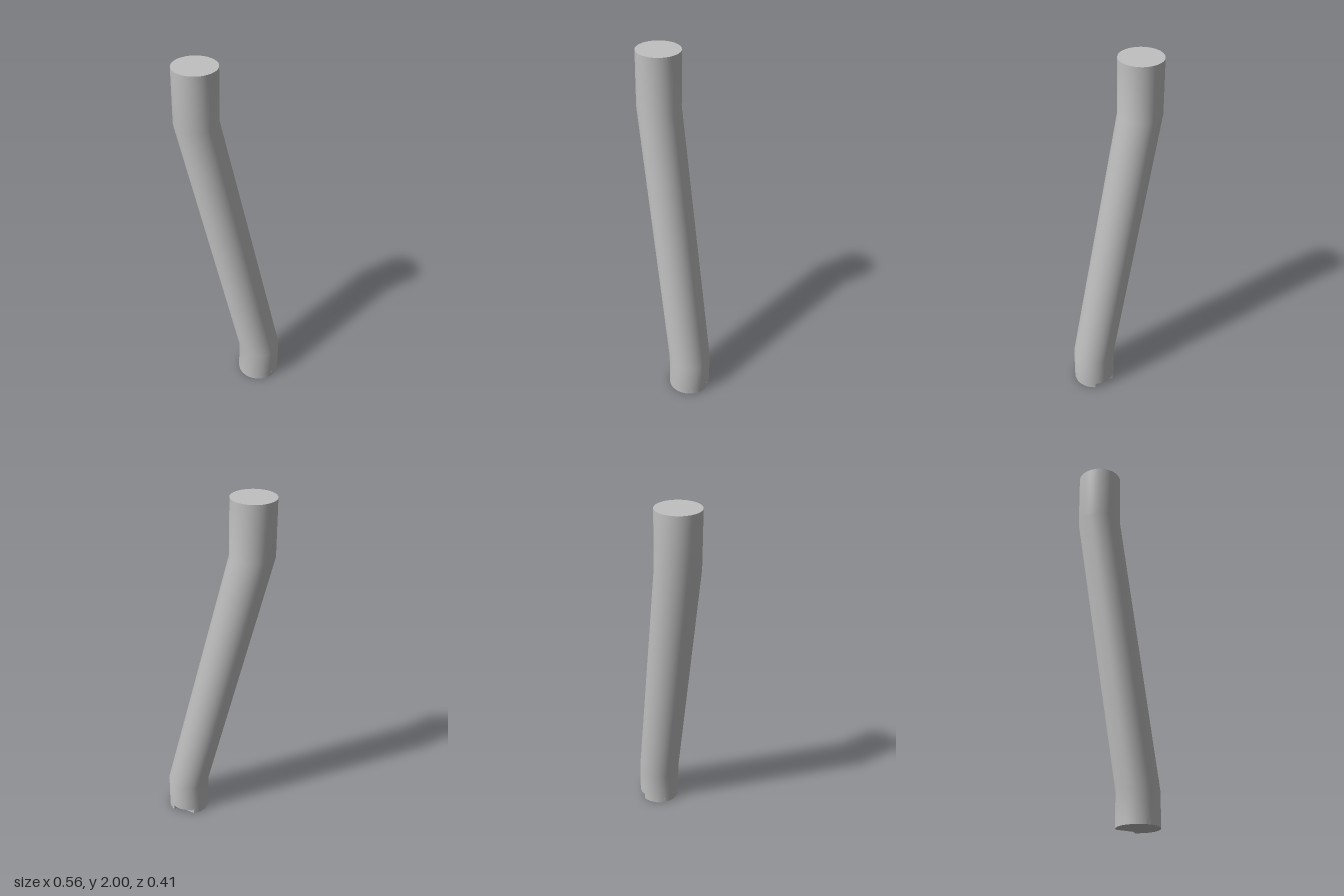
import * as THREE from 'three';
import { toCreasedNormals } from 'three/addons/utils/BufferGeometryUtils.js';

const R = 0.12;          // pipe radius in plan
const NOTCH_H = 0.03;    // height of the notch cut into the foot
const FOOT = { x: 0.158, z: -0.085 };

export function createModel() {
  const group = new THREE.Group();
  const grey = new THREE.MeshStandardMaterial({ color: 0xc0c0c0 });
  grey.name = 'plain grey';

  // Bent pipe: level rings, shifted sideways between the two bends
  const levels = [NOTCH_H, 0.2, 1.69, 2];
  const pipeGeo = new THREE.CylinderGeometry(R, R, 3, 64, 3);
  const pos = pipeGeo.attributes.position;
  for (let i = 0; i < pos.count; i++) {
    const ring = Math.round(pos.getY(i) + 1.5);
    const side = ring < 2 ? 1 : -1;
    pos.setXYZ(i, pos.getX(i) + side * FOOT.x, levels[ring], pos.getZ(i) + side * FOOT.z);
  }
  const pipe = new THREE.Mesh(toCreasedNormals(pipeGeo, 0.5), grey);
  pipe.name = 'bentPipe';
  group.add(pipe);

  // Foot slice with a shallow notch at the back
  const outline = new THREE.Shape();
  outline.absarc(0, 0, R, 2.486, 1.37 + Math.PI * 2, false);
  outline.lineTo(0.023, 0.085);
  outline.closePath();
  const footGeo = new THREE.ExtrudeGeometry(outline, {
    depth: NOTCH_H, bevelEnabled: false, curveSegments: 56,
  });
  footGeo.rotateX(-Math.PI / 2);
  const foot = new THREE.Mesh(toCreasedNormals(footGeo, 0.5), grey);
  foot.name = 'notchedFoot';
  foot.position.set(FOOT.x, 0, FOOT.z);
  group.add(foot);

  return group;
}
